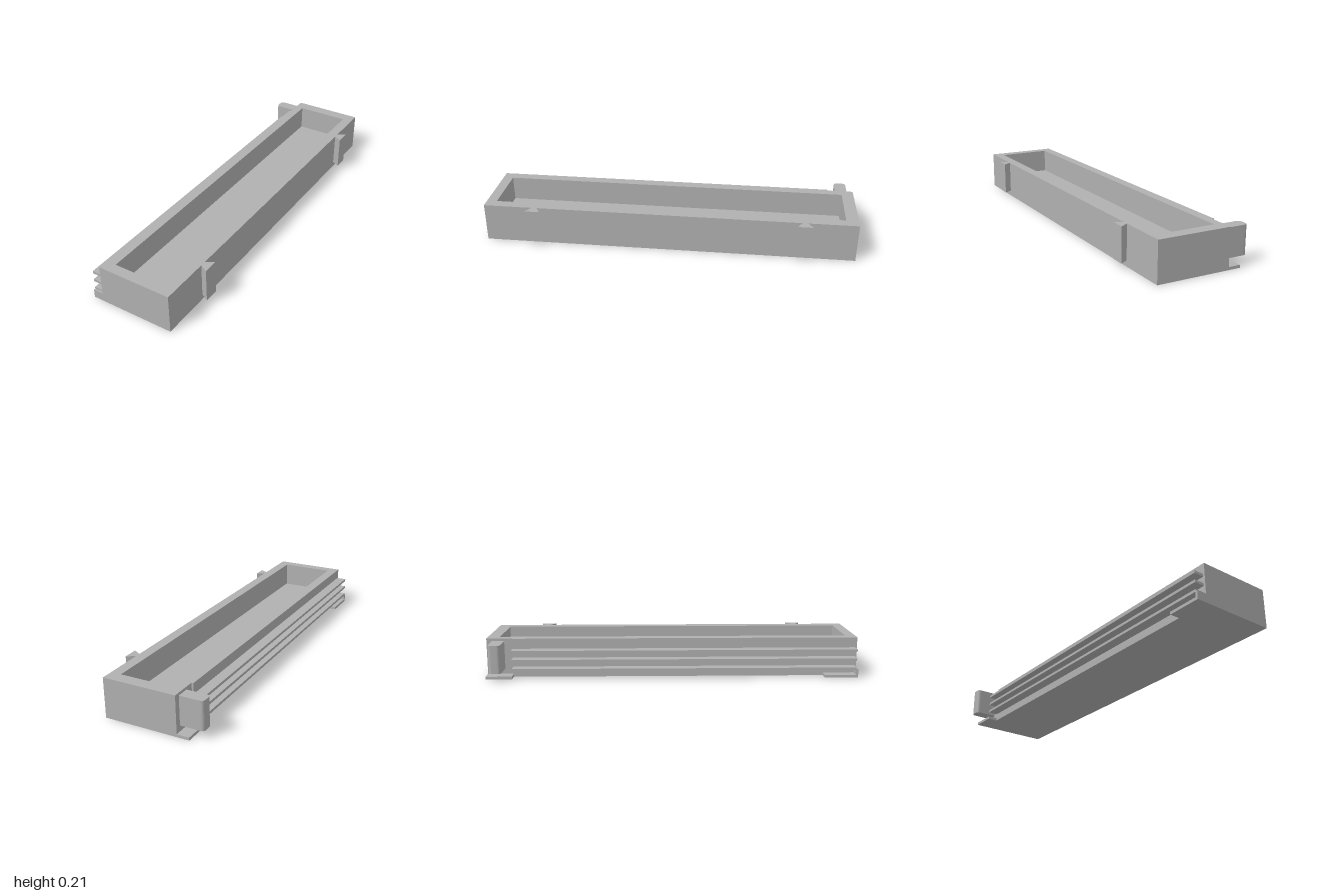
import * as THREE from 'three';

const grey = new THREE.MeshStandardMaterial({ color: 0xb0b0b0 });
grey.name = 'grey plastic';

// Turns a list of plan points [x, z] into a path
function trace(path, points) {
  points.forEach(([x, z], i) => (i ? path.lineTo(x, -z) : path.moveTo(x, -z)));
  path.closePath();
  return path;
}

// Raises a plan shape from y0 to y1
function raise(name, shape, y0, y1) {
  const geometry = new THREE.ExtrudeGeometry(shape, { depth: y1 - y0, bevelEnabled: false, curveSegments: 6 });
  geometry.rotateX(-Math.PI / 2).translate(0, y0, 0);
  const mesh = new THREE.Mesh(geometry, grey);
  mesh.name = name;
  return mesh;
}

// Box given by its limits
function block(name, x0, x1, y0, y1, z0, z1) {
  const geometry = new THREE.BoxGeometry(x1 - x0, y1 - y0, z1 - z0);
  geometry.translate((x0 + x1) / 2, (y0 + y1) / 2, (z0 + z1) / 2);
  const mesh = new THREE.Mesh(geometry, grey);
  mesh.name = name;
  return mesh;
}

export function createModel() {
  const model = new THREE.Group();
  model.name = 'tray';

  const right = 0.235, side = -0.165, recess = -0.155, outer = -0.22;
  const top = 0.21, floor = 0.076, recessEnd = -0.86;

  // Tray body, its back corner set in slightly beside the clip
  const outline = [[side, 1], [right, 1], [right, -1], [recess, -1], [recess, recessEnd], [side, recessEnd]];
  const walls = trace(new THREE.Shape(), outline);
  walls.holes.push(trace(new THREE.Path(), [[-0.11, 0.945], [-0.11, -0.935], [0.18, -0.935], [0.18, 0.945]]));
  model.add(raise('trayFloor', trace(new THREE.Shape(), outline), 0, floor));
  model.add(raise('trayWalls', walls, floor, top));

  // Three long rails along the side
  for (const y of [0.042, 0.092, 0.141]) {
    model.add(block('sideRail', outer, side, y, y + 0.014, recessEnd, 0.99));
  }

  // Thin ledges at both ends, the front one closed by a small plate
  model.add(block('backLedge', outer, recess, 0, 0.015, -1, recessEnd));
  model.add(block('frontLedge', outer, side, 0, 0.015, 0.82, 0.988));
  model.add(block('frontLedgePlate', outer, side, 0, 0.046, 0.988, 1));

  // Clip with rounded outer corners
  const clip = new THREE.Shape();
  const x0 = -0.28, z0 = 0.905, z1 = 0.97, r = 0.02;
  clip.moveTo(recess, z0);
  clip.lineTo(recess, z1);
  clip.lineTo(x0 + r, z1);
  clip.quadraticCurveTo(x0, z1, x0, z1 - r);
  clip.lineTo(x0, z0 + r);
  clip.quadraticCurveTo(x0, z0, x0 + r, z0);
  clip.closePath();
  model.add(raise('clip', clip, 0.045, 0.196));

  // Dovetail keys on the opposite side
  for (const z of [-0.722, 0.722]) {
    const key = trace(new THREE.Shape(), [
      [right, z + 0.015], [0.278, z + 0.04], [0.278, z - 0.04], [right, z - 0.015],
    ]);
    model.add(raise('dovetailKey', key, 0.03, top));
  }

  return model;
}
